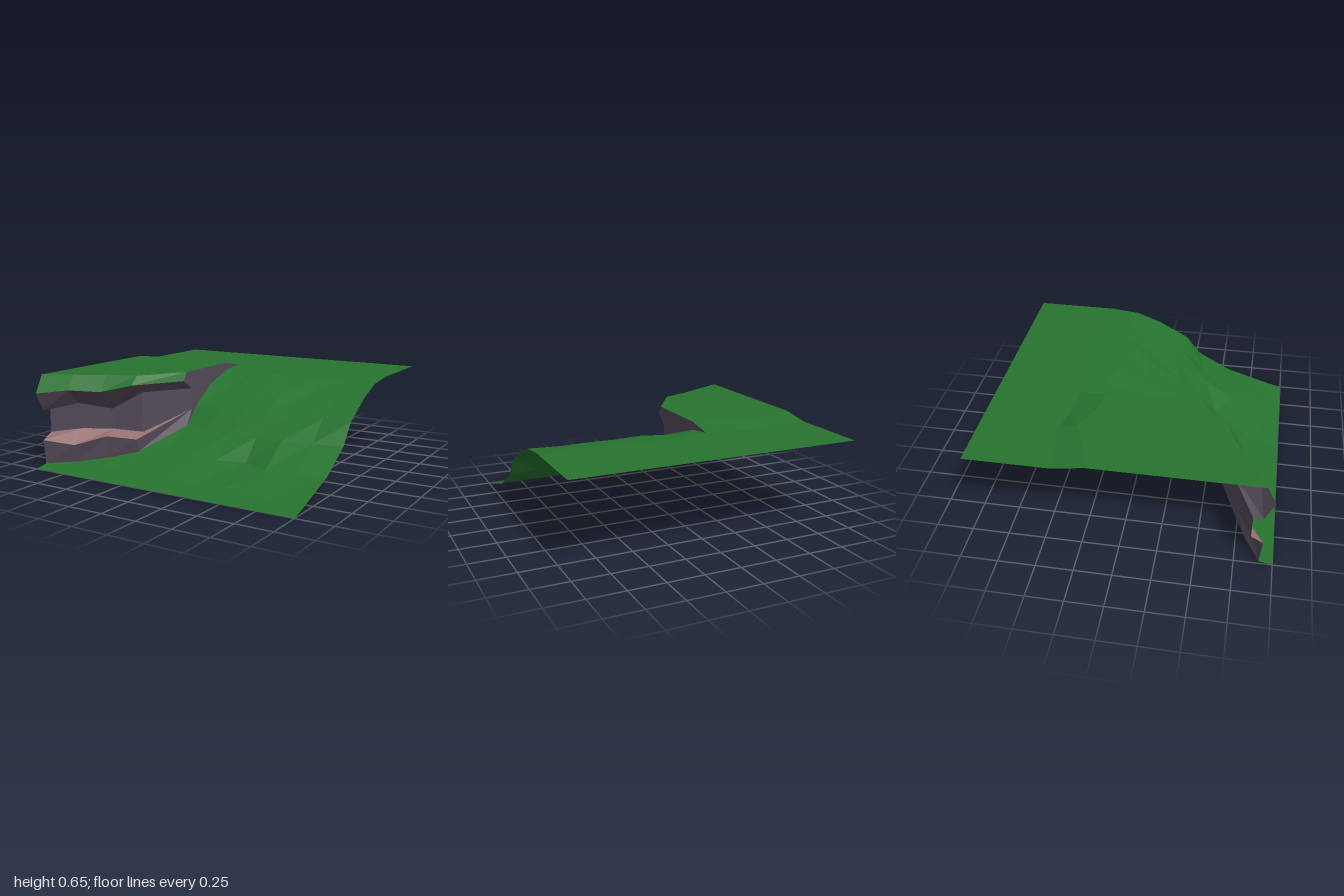
import * as THREE from 'three';

const material = (name, color) => {
  const m = new THREE.MeshStandardMaterial({ color, side: THREE.DoubleSide, flatShading: true });
  m.name = name;
  return m;
};

// Row of points across the tile: heights and depths may be single numbers or lists
const row = (xs, ys, zs) => xs.map((x, i) => new THREE.Vector3(
  x, Array.isArray(ys) ? ys[i] : ys, Array.isArray(zs) ? zs[i] : zs));

// Faceted surface stretched over successive rows, skipping collapsed triangles
function surface(name, rows, mat) {
  const points = [];
  const triangle = (a, b, c) => {
    if (new THREE.Triangle(a, b, c).getArea() > 1e-6) points.push(a, b, c);
  };
  for (let i = 0; i < rows.length - 1; i++) {
    for (let j = 0; j < rows[i].length - 1; j++) {
      const a = rows[i][j], b = rows[i + 1][j], c = rows[i + 1][j + 1], d = rows[i][j + 1];
      triangle(a, b, d);
      triangle(b, c, d);
    }
  }
  const geometry = new THREE.BufferGeometry().setFromPoints(points);
  geometry.computeVertexNormals();
  const mesh = new THREE.Mesh(geometry, mat);
  mesh.name = name;
  return mesh;
}

export function createModel() {
  const group = new THREE.Group();
  group.name = 'cliffTerrain';
  const grass = material('grass green', 0x26732f);
  const rock = material('rock purple grey', 0x544a58);
  const ledgeRock = material('ledge dusty pink', 0x966e70);

  const left = [-1, -0.8, -0.6, -0.4, -0.2];
  const right = [-0.2, 0, 0.2, 0.4, 0.6, 0.8, 1];
  const all = [...left, ...right.slice(1)];

  // Flat upper ground
  const crestZ = [-0.43, -0.44, -0.47, -0.43, -0.41, -0.43, -0.49, -0.45, -0.43, -0.43, -0.42];
  const crest = row(all, 0.62, crestZ);
  group.add(surface('upperGround', [row(all, 0.62, -1), crest], grass));

  // Hillside falling away beside the cliff
  group.add(surface('hillside', [
    crest.slice(4),
    row(right, 0.6, [-0.23, -0.29, -0.22, -0.24, -0.23, -0.24, -0.21]),
    row(right, 0.53, [-0.01, -0.04, -0.01, -0.02, -0.08, -0.07, -0.02]),
    row(right, 0.41, [0.17, 0.19, 0.2, 0.2, 0.19, 0.19, 0.2]),
    row(right, 0.27, [0.31, 0.35, 0.38, 0.37, 0.4, 0.35, 0.31]),
  ], grass));

  // Lower slope, wrapping around the foot of the cliff
  const footY = [0.02, 0.035, 0.07, 0.12, 0.27];
  const footZ = [0.91, 0.8, 0.71, 0.62, 0.31];
  group.add(surface('lowerSlope', [
    row(all, [...footY, 0.27, 0.27, 0.27, 0.27, 0.27, 0.27],
      [...footZ, 0.35, 0.38, 0.37, 0.4, 0.35, 0.31]),
    row(all, [...footY.slice(0, 4), 0.135, 0.13, 0.13, 0.13, 0.13, 0.13, 0.13],
      [...footZ.slice(0, 4), 0.57, 0.6, 0.57, 0.51, 0.61, 0.6, 0.56]),
    row(all, [0.015, 0.03, 0.03, 0.035, 0.03, 0.03, 0.03, 0.03, 0.03, 0.03, 0.025],
      [0.93, 0.82, 0.82, 0.79, 0.83, 0.83, 0.81, 0.87, 0.87, 0.87, 0.9]),
    row(all, 0, 1),
  ], grass));

  // Raised plateau and its grassy lip
  const lip = row(left, [0.53, 0.555, 0.545, 0.595, 0.595], [0.975, 0.87, 0.77, 0.685, 0.345]);
  group.add(surface('plateau', [
    crest.slice(0, 5),
    row(left, 0.655, [-0.2, -0.25, -0.35, -0.25, -0.21]),
    row(left, 0.655, [0.91, 0.81, 0.7, 0.62, 0.31]),
    lip,
  ], grass));

  // Overhang and recessed rock band
  const ledgeBack = row(left, [0.235, 0.265, 0.265, 0.25, 0.38], [0.845, 0.745, 0.64, 0.56, 0.25]);
  const ledgeFront = row(left, [0.19, 0.16, 0.225, 0.21, 0.38], [0.925, 0.83, 0.72, 0.64, 0.25]);
  group.add(surface('overhang', [
    lip,
    row(left, [0.4, 0.45, 0.41, 0.53, 0.53], [0.91, 0.77, 0.65, 0.56, 0.25]),
    row(left, [0.4, 0.45, 0.44, 0.53, 0.53], [0.845, 0.745, 0.64, 0.56, 0.25]),
    ledgeBack,
  ], rock));

  // Ledge and the rock beneath it
  group.add(surface('ledge', [ledgeBack, ledgeFront], ledgeRock));
  group.add(surface('cliffBase', [ledgeFront, row(left, footY, footZ)], rock));

  // Side wall between the plateau and the hillside
  const outline = [[0.31, 0.27], [0.17, 0.41], [-0.01, 0.53], [-0.23, 0.6], [-0.41, 0.62],
    [-0.21, 0.655], [0.31, 0.655], [0.345, 0.595], [0.25, 0.53], [0.25, 0.38]];
  const shape = new THREE.Shape(outline.map(([z, y]) => new THREE.Vector2(-z, y)));
  const wall = new THREE.Mesh(new THREE.ShapeGeometry(shape).rotateY(Math.PI / 2), rock);
  wall.position.x = -0.2;
  wall.name = 'sideWall';
  group.add(wall);

  return group;
}
